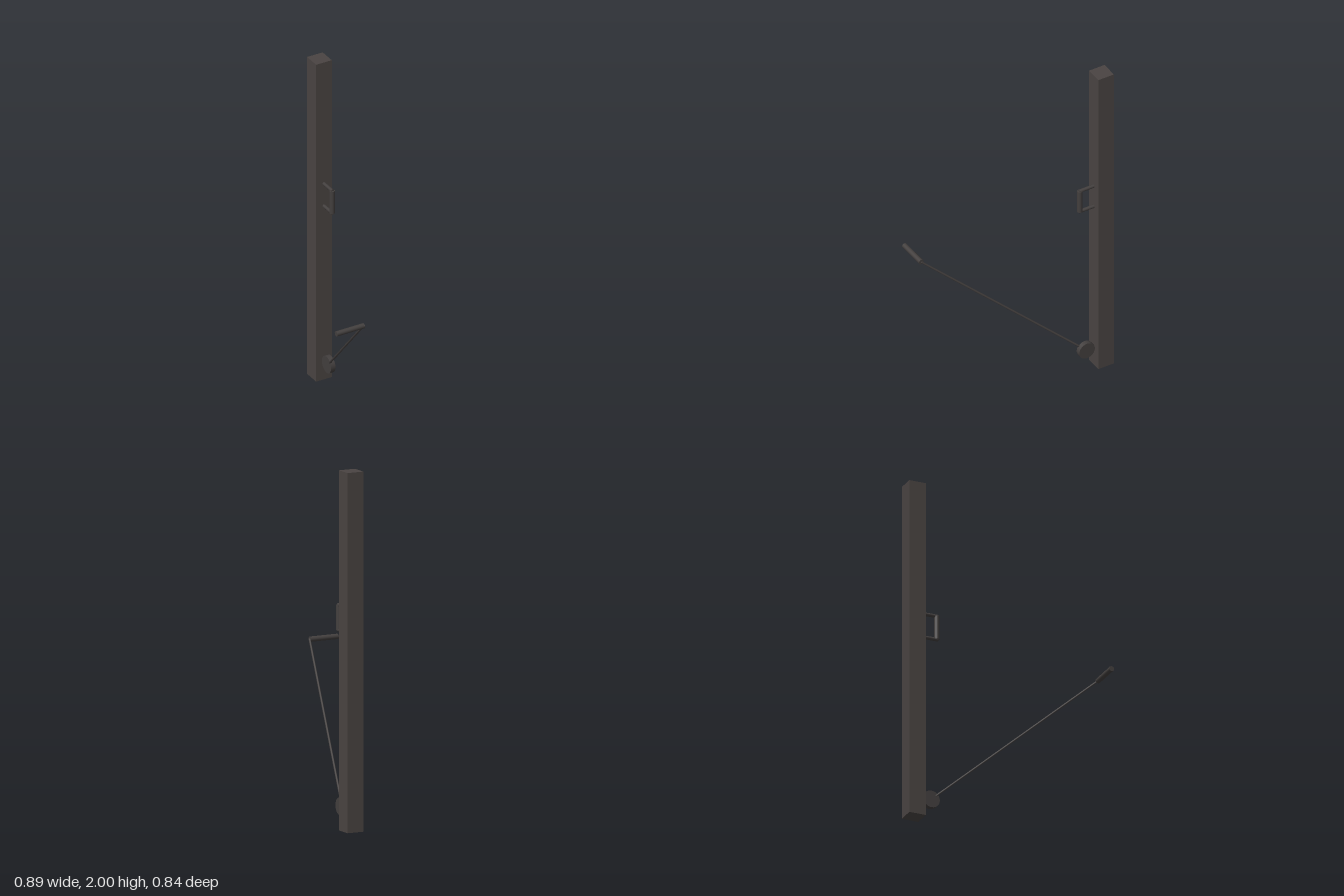
import * as THREE from 'three';

const postPaint = new THREE.MeshStandardMaterial({ color: 0x4a4442 });
postPaint.name = 'post dark grey';
const fittingPaint = new THREE.MeshStandardMaterial({ color: 0x433f3e });
fittingPaint.name = 'fitting dark grey';

// Round bar between two points
function bar(name, a, b, radius, sides = 16) {
  const from = new THREE.Vector3(...a);
  const to = new THREE.Vector3(...b);
  const dir = to.clone().sub(from);
  const mesh = new THREE.Mesh(
    new THREE.CylinderGeometry(radius, radius, dir.length(), sides), fittingPaint);
  mesh.name = name;
  mesh.position.copy(from).add(to).multiplyScalar(0.5);
  mesh.quaternion.setFromUnitVectors(new THREE.Vector3(0, 1, 0), dir.normalize());
  return mesh;
}

export function createModel() {
  const model = new THREE.Group();
  model.name = 'postWithCable';

  // Everything fixed to the post shares its slight turn
  const postGroup = new THREE.Group();
  postGroup.name = 'postAssembly';
  postGroup.position.set(-0.385, 0, -0.359);
  postGroup.rotation.y = THREE.MathUtils.degToRad(-20);
  model.add(postGroup);

  // Square post
  const post = new THREE.Mesh(new THREE.BoxGeometry(0.099, 2, 0.099), postPaint);
  post.name = 'post';
  post.position.y = 1;
  postGroup.add(post);

  // Bracket: two prongs and an upright grip
  const low = 1.095, high = 1.235, reach = 0.138;
  for (const [name, y] of [['lowerProng', low], ['upperProng', high]]) {
    postGroup.add(bar(name, [0.04, y, 0], [reach + 0.005, y, 0], 0.01));
  }
  postGroup.add(bar('bracketGrip', [reach, low, 0], [reach, high, 0], 0.015));

  // Pulley wheel at the foot
  postGroup.add(bar('pulley', [0.1, 0.122, -0.014], [0.1, 0.122, 0.014], 0.05, 24));

  // Pulled cable and its hand grip
  model.add(bar('cable', [-0.291, 0.122, -0.325], [0.43, 0.885, 0.246], 0.006, 8));
  model.add(bar('handGrip', [0.43, 0.885, 0.248], [0.372, 0.885, 0.413], 0.015));

  return model;
}
